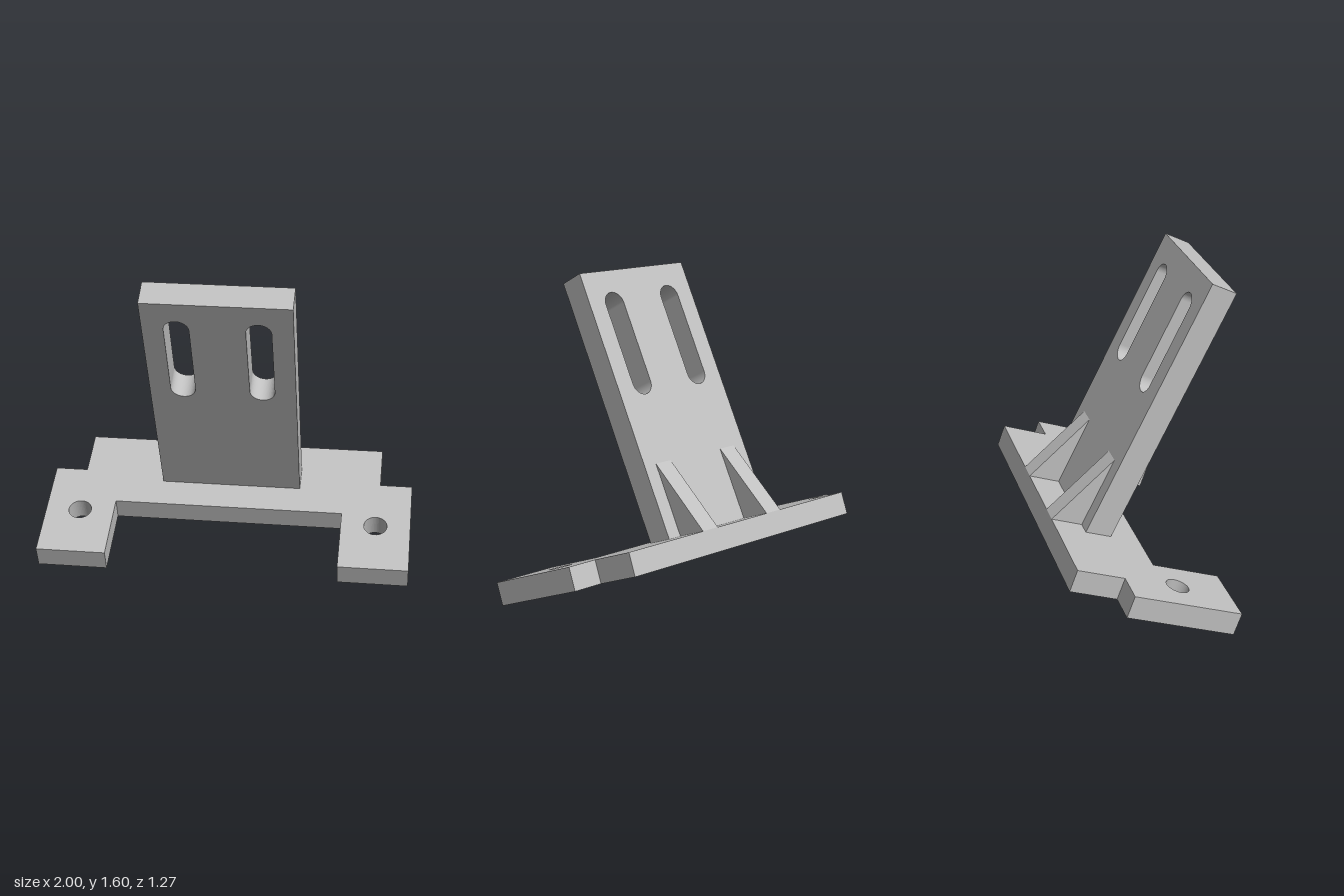
import * as THREE from 'three';

const grey = new THREE.MeshStandardMaterial({ color: 0xbfbfbf });
grey.name = 'plain grey';

function part(name, geometry) {
  const mesh = new THREE.Mesh(geometry, grey);
  mesh.name = name;
  return mesh;
}

function polygon(points) {
  return new THREE.Shape(points.map(([x, y]) => new THREE.Vector2(x, y)));
}

function extrude(shape, depth) {
  return new THREE.ExtrudeGeometry(shape, { depth, bevelEnabled: false, curveSegments: 24 });
}

export function createModel() {
  const model = new THREE.Group();
  model.name = 'slottedBracket';

  // Bracket frame: origin at the middle of the base's top back edge
  const bracket = new THREE.Group();
  bracket.name = 'bracket';
  bracket.rotation.set(THREE.MathUtils.degToRad(20), THREE.MathUtils.degToRad(16.1), 0, 'YXZ');
  bracket.position.set(-0.138, 0.397, -0.383);
  model.add(bracket);

  // Base plate with two forward feet, x across and y running forward
  const half = [[0.791, 0], [0.791, 0.251], [0.958, 0.251], [0.958, 0.83], [0.598, 0.83], [0.598, 0.467]];
  const mirrored = half.map(([x, y]) => [-x, y]).reverse();
  const baseShape = polygon([...half, ...mirrored]);
  for (const side of [-1, 1]) {
    const hole = new THREE.Path();
    hole.absarc(side * 0.778, 0.54, 0.06, 0, Math.PI * 2, true);
    baseShape.holes.push(hole);
  }
  bracket.add(part('basePlate', extrude(baseShape, 0.119).rotateX(Math.PI / 2)));

  // Leaning upright plate with two long slots
  const w = 0.366;
  const uprightShape = polygon([[-w, -0.03], [w, -0.03], [w, 1.4], [-w, 1.4]]);
  const r = 0.062;
  for (const side of [-1, 1]) {
    const slot = new THREE.Path();
    slot.absarc(side * 0.198, 1.22, r, 0, Math.PI, false);
    slot.absarc(side * 0.198, 0.79, r, Math.PI, Math.PI * 2, false);
    slot.closePath();
    uprightShape.holes.push(slot);
  }
  const upright = part('uprightPlate', extrude(uprightShape, 0.139).translate(0, 0, -0.139));
  upright.position.z = 0.306;
  upright.rotation.x = THREE.MathUtils.degToRad(6.7);
  bracket.add(upright);

  // Triangular ribs bracing the back of the upright
  const ribShape = polygon([[0, 0], [0.2, 0], [0.23, 0.36], [0.211, 0.382]]);
  for (const side of [-1, 1]) {
    const rib = part(side > 0 ? 'leftRib' : 'rightRib',
      extrude(ribShape, 0.105).translate(0, 0, -0.0525).rotateY(-Math.PI / 2));
    rib.position.x = side * 0.235;
    bracket.add(rib);
  }

  return model;
}
